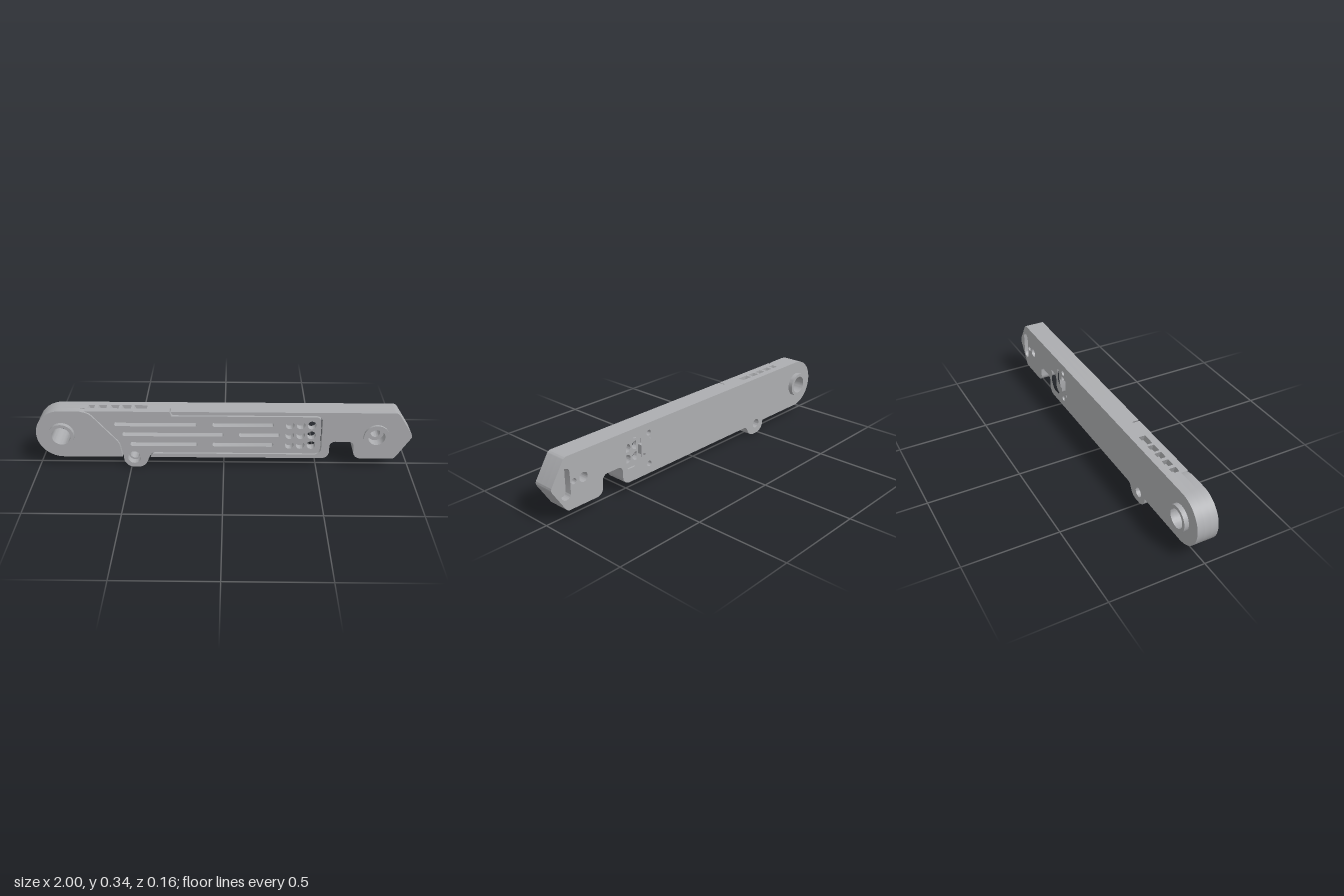
import * as THREE from 'three';
import { toCreasedNormals } from 'three/addons/utils/BufferGeometryUtils.js';

const grey = new THREE.MeshStandardMaterial({ color: 0xacadb0 });
grey.name = 'machined grey';

// Polygon from [x, y, cornerRadius] with true circular fillets
function filleted(corners) {
  const out = [];
  const n = corners.length;
  corners.forEach(([x, y, r = 0], i) => {
    const c = new THREE.Vector2(x, y);
    if (!r) return out.push(c);
    const before = corners[(i + n - 1) % n], after = corners[(i + 1) % n];
    const a = new THREE.Vector2(before[0] - x, before[1] - y).normalize();
    const b = new THREE.Vector2(after[0] - x, after[1] - y).normalize();
    const half = Math.acos(THREE.MathUtils.clamp(a.dot(b), -1, 1)) / 2;
    const mid = a.clone().add(b).normalize().multiplyScalar(r / Math.sin(half)).add(c);
    const start = c.clone().addScaledVector(a, r / Math.tan(half)).sub(mid);
    const sweep = (Math.PI - 2 * half) * Math.sign(b.x * a.y - b.y * a.x) * -1;
    const steps = Math.max(3, Math.ceil(Math.abs(sweep) / 0.12));
    for (let k = 0; k <= steps; k++) {
      out.push(start.clone().rotateAround(new THREE.Vector2(), -sweep * k / steps).add(mid));
    }
  });
  return out;
}

const circle = (x, y, r) => Array.from({ length: 40 }, (_, i) => {
  const t = i / 40 * Math.PI * 2;
  return new THREE.Vector2(x + r * Math.cos(t), y + r * Math.sin(t));
});

const roundedSlot = (x0, x1, y0, y1, r) =>
  filleted([[x0, y0, r], [x1, y0, r], [x1, y1, r], [x0, y1, r]]);

function plate(name, outline, holes, z0, z1) {
  const shape = new THREE.Shape(outline);
  shape.holes = holes.map((h) => new THREE.Path(h));
  const geo = new THREE.ExtrudeGeometry(shape, { depth: z1 - z0, bevelEnabled: false });
  geo.translate(0, 0, z0);
  const mesh = new THREE.Mesh(toCreasedNormals(geo, 0.4), grey);
  mesh.name = name;
  return mesh;
}

export function createModel() {
  const group = new THREE.Group();
  group.name = 'linkArm';
  const TOP = 0.338, LOW = 0.062, Z = 0.056, SPLIT = 0.018, MID = -0.018;
  const PX = -0.862, BX = 0.81, CY = 0.2, LX = -0.482;

  // Shared stretches of the outline
  const roundTop = [-1, TOP, 0.138], roundLow = [-1, LOW, 0.138];
  const hookEnd = [
    [0.915, TOP, 0.03], [1.003, CY, 0.025], [0.915, LOW, 0.03], [0.695, LOW, 0.04],
    [0.695, 0.165, 0.03], [0.565, 0.165, 0.03], [0.565, LOW, 0.04],
  ];
  const lug = [[-0.425, 0, 0.055], [-0.539, 0, 0.055]];
  const under = [[-0.395, LOW, 0.03], ...lug, [-0.545, LOW, 0.004], roundLow];

  // Slanted vents cut into the top edge of the middle layer
  const vents = [[-0.72, -0.685], [-0.665, -0.62], [-0.60, -0.555], [-0.54, -0.49], [-0.475, -0.405]]
    .flatMap(([a, b]) => [[a, TOP], [a + 0.02, 0.3], [b + 0.015, 0.3], [b, TOP]]);

  const pivotHole = circle(PX, CY, 0.05);
  const boltHole = circle(BX, CY, 0.025);
  const lugHole = circle(LX, 0.06, 0.026);
  const pocket = filleted([
    [0.437, 0.292, 0.03], [0.515, 0.292, 0.035], [0.54, 0.25, 0.03],
    [0.54, 0.15, 0.03], [0.515, 0.108, 0.035], [0.437, 0.108, 0.03],
  ]);
  // Keyed recess beside the pocket
  const key = filleted([
    [0.425, 0.225], [0.425, 0.175], [0.405, 0.175], [0.405, 0.145], [0.375, 0.145],
    [0.365, 0.155], [0.335, 0.145], [0.335, 0.165], [0.345, 0.175], [0.345, 0.225],
    [0.335, 0.235], [0.335, 0.255], [0.365, 0.245], [0.375, 0.255], [0.405, 0.255], [0.405, 0.225],
  ]);

  group.add(plate('backPlate', filleted([roundTop, ...hookEnd, ...under]), [
    pivotHole, boltHole, lugHole, pocket, key,
    circle(0.385, 0.285, 0.015), circle(0.385, 0.115, 0.015), circle(0.868, CY, 0.015),
    roundedSlot(0.889, 0.945, 0.12, 0.28, 0.0275),
  ], -Z, MID));

  group.add(plate('middlePlate', filleted([roundTop, ...vents, ...hookEnd, ...under]),
    [pivotHole, boltHole, lugHole, pocket], MID, SPLIT));

  // Front frame, in two pieces around the cover
  group.add(plate('roundEndFrame', filleted([
    roundTop, [-0.765, TOP], [-0.71, 0.325, 0.08], [-0.56, 0.15, 0.08], [-0.546, LOW], roundLow,
  ]), [pivotHole], SPLIT, Z));
  group.add(plate('hookEndFrame', filleted([
    [-0.277, TOP], ...hookEnd, [-0.395, LOW], [-0.38, 0.085],
    [0.522, 0.085, 0.037], [0.522, 0.319, 0.037], [-0.268, 0.319],
  ]), [circle(BX, CY, 0.045)], SPLIT, Z));

  // Slotted cover with a grid of round holes
  const slots = [
    [-0.58, -0.14, 0.263], [-0.06, 0.265, 0.263],
    [-0.54, 0.0, 0.203], [0.08, 0.3, 0.203],
    [-0.5, -0.14, 0.143], [-0.06, 0.265, 0.143],
  ].map(([a, b, y]) => roundedSlot(a, b, y - 0.012, y + 0.012, 0.0118));
  const grid = [0.35, 0.408, 0.466].flatMap((x) => [0.143, 0.203, 0.263].map((y) => circle(x, y, 0.023)));
  group.add(plate('slottedCover', filleted([
    [-0.735, TOP], [-0.703, 0.325, 0.05], [-0.553, 0.15, 0.08], [-0.539, LOW],
    lug[1], lug[0], [-0.39, 0.092, 0.03],
    [0.515, 0.092, 0.03], [0.515, 0.312, 0.03], [-0.275, 0.312], [-0.285, TOP],
  ]), [...slots, ...grid, circle(LX, 0.06, 0.036)], SPLIT, Z));

  // Raised bosses around the pivot and the bolt
  for (const [name, x, hole, z0, z1] of [
    ['frontPivotBoss', PX, 0.05, Z, 0.08],
    ['backPivotBoss', PX, 0.05, -0.08, -Z],
    ['boltBoss', BX, 0.045, Z, 0.07],
  ]) group.add(plate(name, circle(x, CY, 0.068), [circle(x, CY, hole)], z0, z1));

  return group;
}
